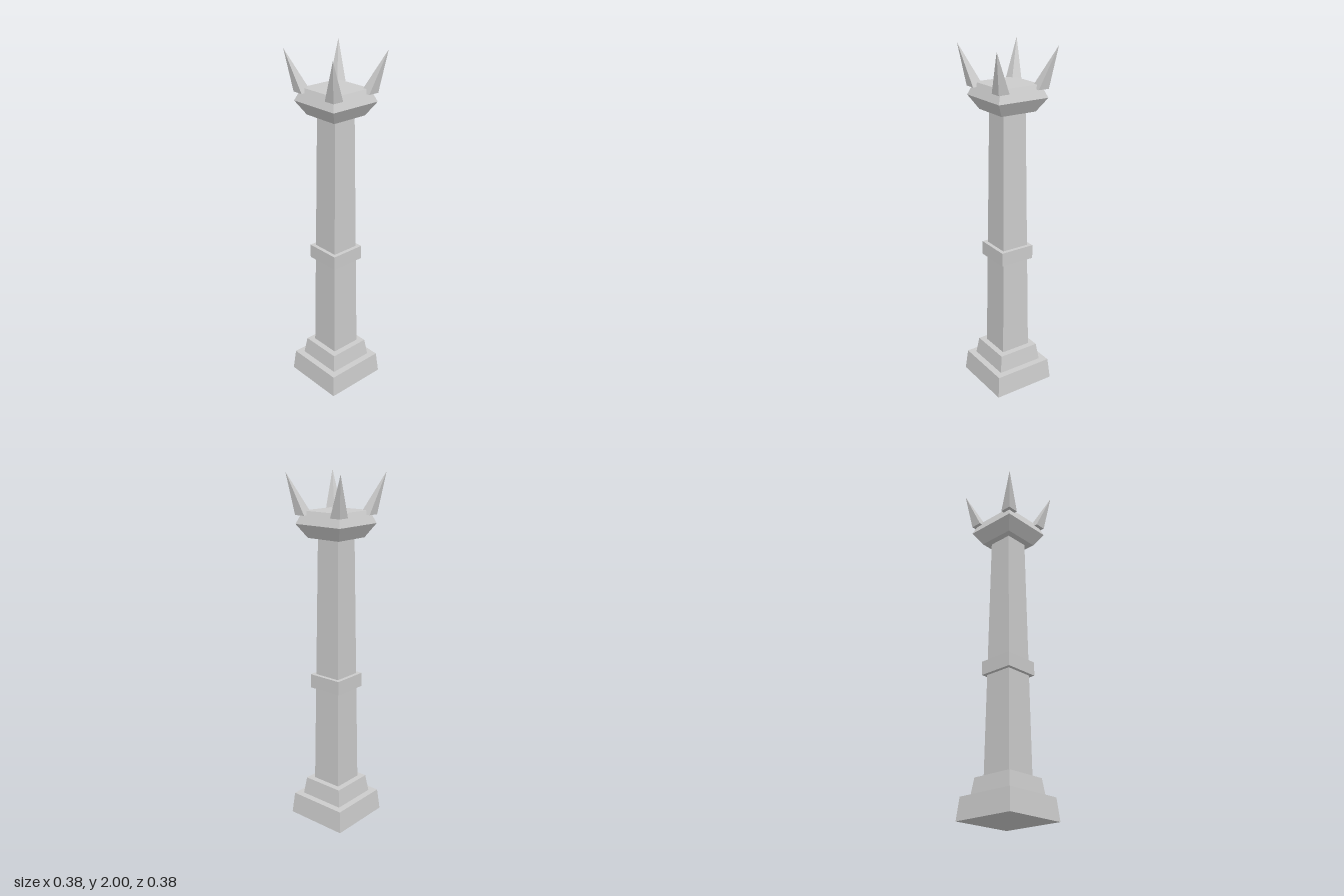
import * as THREE from 'three';

const stone = new THREE.MeshStandardMaterial({ color: 0xcccccc, flatShading: true });
stone.name = 'pale grey stone';

// Square frustum from y0 to y1 with the given half widths
function frustum(name, y0, y1, half0, half1, capped = true) {
  const g = new THREE.CylinderGeometry(half1 * Math.SQRT2, half0 * Math.SQRT2, y1 - y0, 4, 1, !capped);
  g.rotateY(Math.PI / 4).translate(0, (y0 + y1) / 2, 0);
  const mesh = new THREE.Mesh(g, stone);
  mesh.name = name;
  return mesh;
}

// Four-sided spike leaning outwards along the +x +z diagonal
function spikeGeometry(y0, y1, inner, outer, tip) {
  const h = y1 - y0;
  const centre = (inner + outer) / 2;
  const lean = (tip - centre) / h;
  const g = new THREE.ConeGeometry((outer - inner) / 2 * Math.SQRT2, h, 4);
  g.rotateY(Math.PI / 4).translate(0, h / 2, 0);
  g.applyMatrix4(new THREE.Matrix4().set(
    1, lean, 0, centre,
    0, 1, 0, y0,
    0, lean, 1, centre,
    0, 0, 0, 1));
  return g;
}

export function createModel() {
  const model = new THREE.Group();
  model.name = 'stonePillar';

  model.add(
    // Stepped base
    frustum('basePlinth', 0, 0.125, 0.188, 0.176),
    frustum('baseStep', 0.125, 0.225, 0.138, 0.124),
    // Tapered shaft with its band
    frustum('shaft', 0.225, 1.655, 0.09, 0.07),
    frustum('shaftBand', 0.8, 0.88, 0.103, 0.103),
    // Capital flaring out, then in
    frustum('capitalLower', 1.655, 1.73, 0.108, 0.154),
    frustum('capitalUpper', 1.73, 1.8, 0.154, 0.125)
  );

  // One spike on each corner of the capital
  const spikeGeo = spikeGeometry(1.777, 2, 0.09, 0.155, 0.188);
  for (let i = 0; i < 4; i++) {
    const spike = new THREE.Mesh(spikeGeo, stone);
    spike.name = `cornerSpike${i + 1}`;
    spike.rotation.y = i * Math.PI / 2;
    model.add(spike);
  }
  return model;
}
